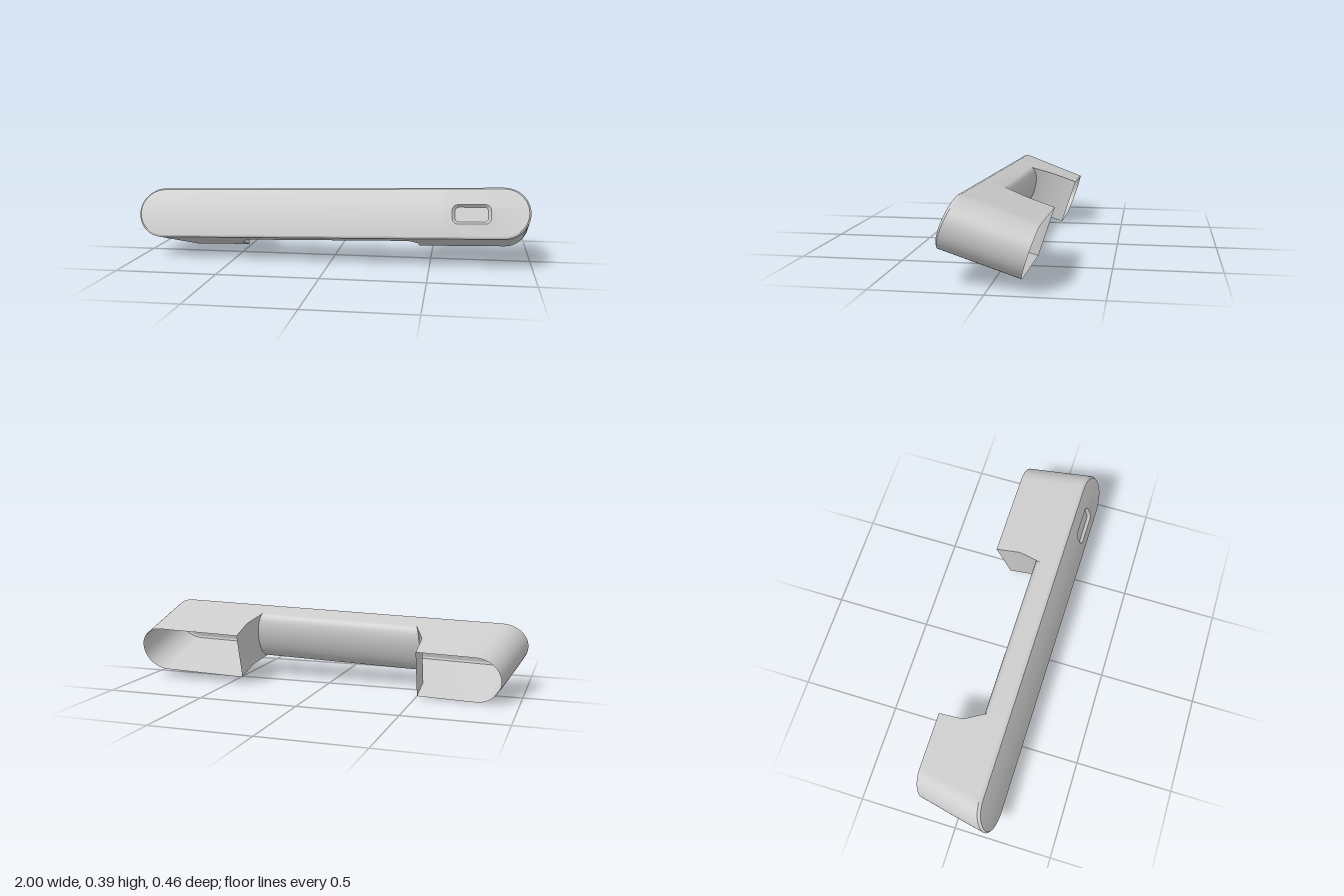
import * as THREE from 'three';
import { toCreasedNormals } from 'three/addons/utils/BufferGeometryUtils.js';

const C = 0.187;      // mid height of the bar in its own frame
const N = 28;         // steps around each round end
const BEND = 0.13;    // depth at which the grip leaves the feet
const BACK = -0.138;  // open rear of the feet

const mat = new THREE.MeshStandardMaterial({ color: 0xcccccc, side: THREE.DoubleSide });

// Outline rules along the depth
const depth = z => (0.23 - z) / 0.37;
const half = z => 0.1285 - 0.0055 * depth(z);
const endX = (s, z) => s > 0 ? 0.992 + 0.01 * depth(z) : 0.995 - 0.08 * depth(z);
const rimZ = y => 0.238 - 0.09 * (y - C) - 0.4 * (y - C) ** 2;
const faceZ = y => 0.248 - 0.06 * (y - C) - 0.5 * (y - C) ** 2;
const wallX = (s, z) => {
  const t = Math.min(1, Math.max(0, (BEND - z) / BEND));
  return s > 0 ? 0.393 + 0.04 * t : -0.447 - 0.06 * t;
};
const angles = Array.from({ length: N + 1 }, (_, i) => Math.PI * (0.5 - i / N));

// Round end from top to bottom, as [x, y] pairs
function roundEnd(s, z, inset = 0) {
  const r = half(z) - inset, cx = endX(s, z) - inset - r;
  return angles.map(a => [s * (cx + r * Math.cos(a)), C + r * Math.sin(a)]);
}

// Skin over rows of equally many points
function loft(rows) {
  const n = rows[0].length, index = [];
  for (let j = 0; j < rows.length - 1; j++) {
    for (let i = 0; i < n - 1; i++) {
      const a = j * n + i, b = a + 1, c = a + n, d = c + 1;
      index.push(a, c, b, b, c, d);
    }
  }
  const g = new THREE.BufferGeometry();
  g.setAttribute('position', new THREE.Float32BufferAttribute(rows.flat(2), 3));
  g.setIndex(index);
  return toCreasedNormals(g, 0.45);
}

function roundedRect(path, x, y, w, h, r) {
  path.moveTo(x - w + r, y - h);
  path.lineTo(x + w - r, y - h);
  path.absarc(x + w - r, y - h + r, r, -Math.PI / 2, 0);
  path.absarc(x + w - r, y + h - r, r, 0, Math.PI / 2);
  path.absarc(x - w + r, y + h - r, r, Math.PI / 2, Math.PI);
  path.absarc(x - w + r, y - h + r, r, Math.PI, Math.PI * 1.5);
  return path;
}

// Flat shape laid onto the curved front
function onFace(shape, sink = 0) {
  const g = new THREE.ShapeGeometry(shape, 8), p = g.attributes.position;
  for (let i = 0; i < p.count; i++) p.setZ(i, faceZ(p.getY(i)) - sink);
  g.computeVertexNormals();
  return g;
}

export function createModel() {
  const model = new THREE.Group();
  model.name = 'pullHandle';
  const body = new THREE.Group();
  body.name = 'handleBody';
  body.rotation.set(-0.314, -0.017, 0.022);
  model.add(body);
  const add = (name, geometry) => {
    const m = new THREE.Mesh(geometry, mat);
    m.name = name;
    body.add(m);
  };

  // Hollow feet with a round outer end and a bent inner wall
  for (const s of [1, -1]) {
    const side = s > 0 ? 'left' : 'right';
    add(side + 'Foot', loft([0.23, BEND, 0, BACK].map((z, k) => {
      const h = half(z), x = wallX(s, z);
      return [[x, C + h], ...roundEnd(s, z), [x, C - h]]
        .map(([px, py]) => [px, py, k ? z : rimZ(py)]);
    })));
    add(side + 'FootInnerWall', loft([
      angles.map(a => {
        const z = BEND - 0.06 * Math.cos(a);
        return [wallX(s, z), C + half(BEND) * Math.sin(a), z];
      }),
      ...[0, BACK].map(z => angles.map(a => [wallX(s, z), C + half(z) * Math.sin(a), z])),
    ]));
  }

  // Grip between the feet, rounded at the rear
  const h0 = half(0.23);
  const section = [
    [C + h0, rimZ(C + h0)],
    ...angles.map(a => [C + half(BEND) * Math.sin(a), BEND - 0.06 * Math.cos(a)]),
    [C - h0, rimZ(C - h0)],
  ];
  add('grip', loft([-1, 1].map(s => section.map(([y, z]) => [wallX(s, z), y, z]))));

  // Bevelled edge around the front
  const ring = inset => {
    const pts = [...roundEnd(1, 0.23, inset), ...roundEnd(-1, 0.23, inset).reverse()];
    return [...pts, pts[0]];
  };
  add('frontBevel', loft([
    ring(0).map(([x, y]) => [x, y, rimZ(y)]),
    ring(0.009).map(([x, y]) => [x, y, faceZ(y)]),
  ]));

  // Front face: long plain part, then the end with the button opening
  const split = 0.58;
  add('frontFace', loft(roundEnd(-1, 0.23, 0.009).map(([x, y]) =>
    [[x, y, faceZ(y)], [split, y, faceZ(y)]])));
  const end = roundEnd(1, 0.23, 0.009);
  const outline = [...end].reverse().concat(end.map(([, y]) => [split, y]));
  const faceEnd = new THREE.Shape(outline.map(([x, y]) => new THREE.Vector2(x, y)));
  const bx = 0.708, by = 0.18;
  const opening = roundedRect(new THREE.Path(), bx, by, 0.095, 0.048, 0.03);
  faceEnd.holes.push(opening);
  add('frontFaceEnd', onFace(faceEnd));

  // Sunken button with a sloped surround
  const floor = roundedRect(new THREE.Shape(), bx, by, 0.081, 0.037, 0.021);
  const loop = (path, sink) => {
    const pts = path.getPoints(8);
    return [...pts, pts[0]].map(p => [p.x, p.y, faceZ(p.y) - sink]);
  };
  add('buttonSurround', loft([loop(opening, 0), loop(floor, 0.014)]));
  add('button', onFace(floor, 0.014));

  return model;
}
